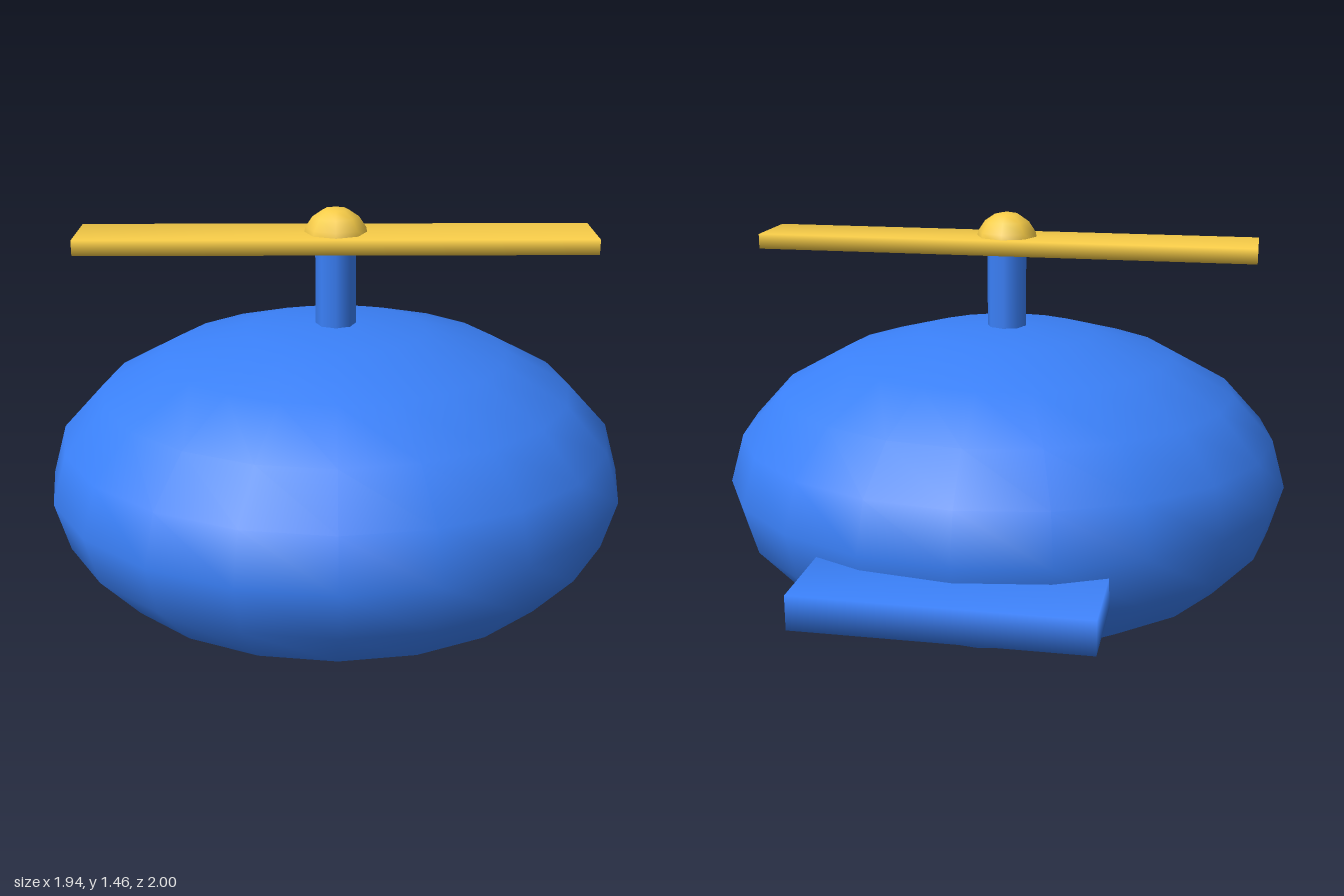
import * as THREE from 'three';
import { mergeVertices } from 'three/addons/utils/BufferGeometryUtils.js';

const CENTER_Z = 0.08; // axis of the body and rotor

// Box with shared corners, so its shading rolls softly over the edges
function softBox(w, h, d) {
  const box = new THREE.BoxGeometry(w, h, d);
  box.deleteAttribute('normal');
  box.deleteAttribute('uv');
  const merged = mergeVertices(box);
  merged.computeVertexNormals();
  return merged;
}

export function createModel() {
  const group = new THREE.Group();
  const blue = new THREE.MeshStandardMaterial({ color: 0x3a80f8 });
  const yellow = new THREE.MeshStandardMaterial({ color: 0xf7cc48 });

  function add(name, geometry, material, x, y, z) {
    const mesh = new THREE.Mesh(geometry, material);
    mesh.name = name;
    mesh.position.set(x, y, z);
    group.add(mesh);
    return mesh;
  }

  // Flattened round body
  const body = add('body', new THREE.SphereGeometry(1, 20, 10), blue, 0, 0.54, CENTER_Z);
  body.scale.set(0.97, 0.538, 0.917);

  // Tail plate, its front end buried in the body
  add('tail', softBox(0.91, 0.11, 0.5), blue, 0, 0.435, -0.75);

  // Rotor: shaft, one long blade and a domed cap
  add('rotorShaft', new THREE.CylinderGeometry(0.067, 0.067, 0.36, 8), blue, 0, 1.17, CENTER_Z);
  add('rotorBlade', softBox(1.68, 0.05, 0.24), yellow, 0, 1.355, CENTER_Z);
  add('rotorCap', new THREE.SphereGeometry(0.107, 8, 4, 0, Math.PI * 2, 0, Math.PI / 2),
    yellow, 0, 1.355, CENTER_Z);

  return group;
}
